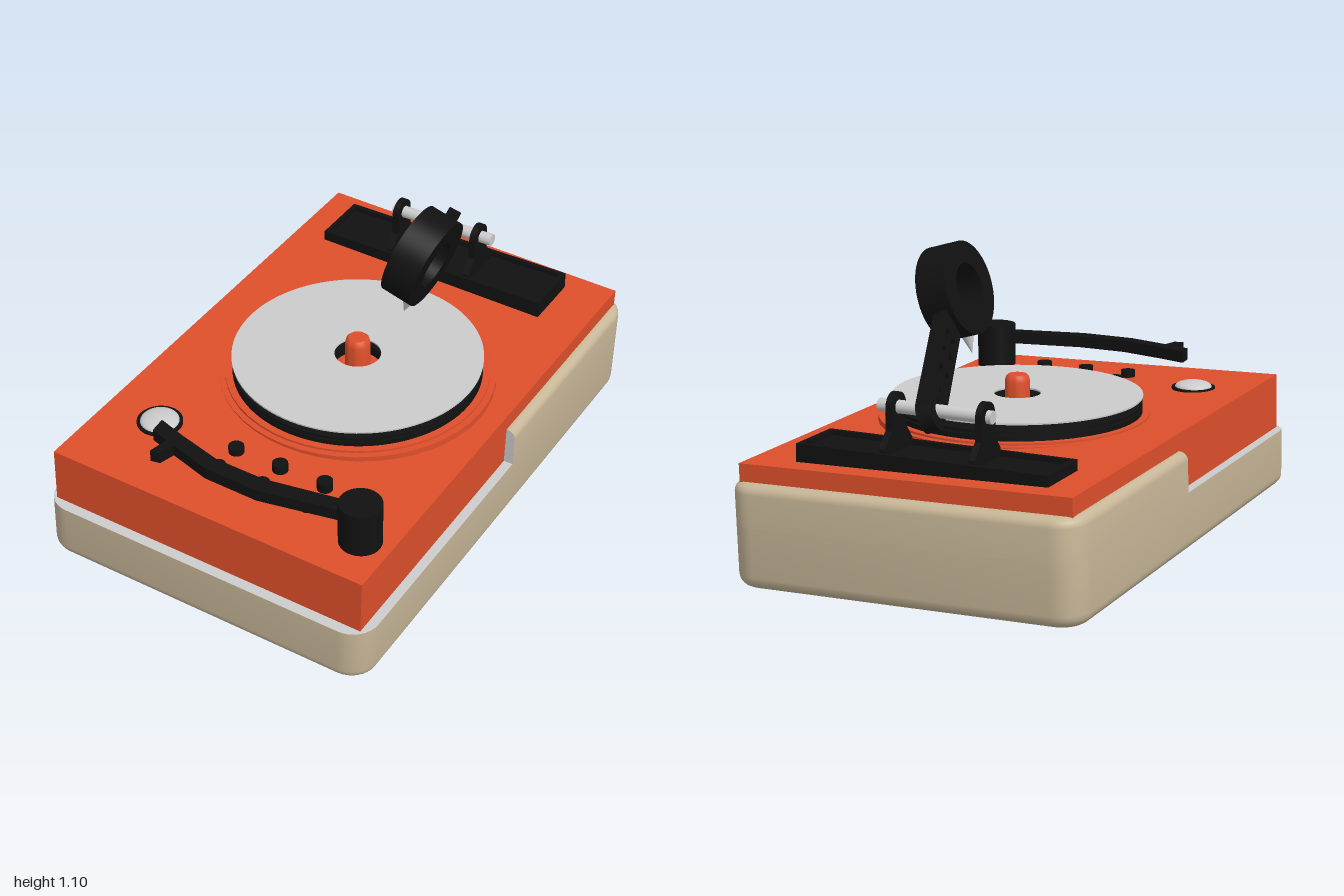
import * as THREE from 'three';
import { toCreasedNormals } from 'three/addons/utils/BufferGeometryUtils.js';

const mat = (color) => new THREE.MeshStandardMaterial({ color });
const black = mat(0x111111), orange = mat(0xde4f2b), cream = mat(0xc8b798), grey = mat(0xcccccc);

function add(parent, name, geometry, material, x = 0, y = 0, z = 0) {
  const mesh = new THREE.Mesh(geometry, material);
  mesh.name = name;
  mesh.position.set(x, y, z);
  parent.add(mesh);
  return mesh;
}
const box = (w, h, d) => new THREE.BoxGeometry(w, h, d);
const cyl = (r, h, top = r) => new THREE.CylinderGeometry(top, r, h, 48);
const poly = (pts) => new THREE.Shape(pts.map(([x, y]) => new THREE.Vector2(x, y)));
const extrude = (shape, depth) =>
  new THREE.ExtrudeGeometry(shape, { depth, bevelEnabled: false, curveSegments: 32 });

// Flat ring with a hole, standing on its own y = 0
function annulus(r, hole, h) {
  const s = new THREE.Shape().absarc(0, 0, r, 0, Math.PI * 2);
  s.holes.push(new THREE.Path().absarc(0, 0, hole, 0, Math.PI * 2, true));
  const g = new THREE.ExtrudeGeometry(s, { depth: h, bevelEnabled: false, curveSegments: 48 });
  return toCreasedNormals(g.rotateX(-Math.PI / 2), 0.6);
}

// Rounded rectangle in plan; zFront cuts it off with square front corners
const W = 0.655, R = 0.1;
function outline(inset, zFront) {
  const pts = [];
  [[1, 1], [-1, 1], [-1, -1], [1, -1]].forEach(([sx, sz], q) => {
    for (let i = 0; i <= 8; i++) {
      const a = (q + i / 8) * Math.PI / 2;
      if (sz > 0 && zFront !== undefined) pts.push([sx * (W - inset), zFront]);
      else pts.push([sx * (W - R) + (R - inset) * Math.cos(a), sz * (1 - R) + (R - inset) * Math.sin(a)]);
    }
  });
  return pts;
}

// Walls through rings of [inset, height], with optional end caps
function loft(rings, zFront, capBottom, capTop) {
  const pos = [], idx = [];
  const loops = rings.map(([inset]) => outline(inset, zFront));
  const n = loops[0].length;
  loops.forEach((loop, k) => loop.forEach(([x, z]) => pos.push(x, rings[k][1], z)));
  for (let k = 0; k < rings.length - 1; k++) for (let i = 0; i < n; i++) {
    const a = k * n + i, b = k * n + (i + 1) % n;
    idx.push(a, a + n, b, a + n, b + n, b);
  }
  const cap = (k, up) => {
    const c = pos.length / 3;
    pos.push(0, rings[k][1], -0.5);
    for (let i = 0; i < n; i++) {
      const a = k * n + i, b = k * n + (i + 1) % n;
      idx.push(c, up ? b : a, up ? a : b);
    }
  };
  if (capBottom) cap(0, false);
  if (capTop) cap(rings.length - 1, true);
  const g = new THREE.BufferGeometry();
  g.setAttribute('position', new THREE.Float32BufferAttribute(pos, 3));
  g.setIndex(idx);
  return toCreasedNormals(g, 0.6);
}
// Quarter-round of radius r in n steps, as [inset, rise]
const quarter = (r, n) => Array.from({ length: n + 1 }, (_, i) => {
  const a = (i / n) * Math.PI / 2;
  return [r * (1 - Math.cos(a)), r * Math.sin(a)];
});

function buildCase(root) {
  // Case and deck lean slightly to one side
  const body = new THREE.Group();
  body.name = 'case';
  body.rotation.z = -0.0275;
  body.position.set(-0.004, 0.018, 0);
  root.add(body);
  const foot = quarter(0.045, 5).reverse().map(([i, y]) => [i, 0.045 - y]);
  add(body, 'lowerCase', loft([...foot, [0, 0.22]], undefined, true, false), cream);
  add(body, 'frontLedge', new THREE.ShapeGeometry(poly(outline(0))).rotateX(-Math.PI / 2), grey, 0, 0.22);
  // Raised rear half of the case
  const rim = quarter(0.032, 5).map(([i, y]) => [i, 0.335 + y]);
  const rings = [[0, 0.22], ...rim], zStep = -0.06;
  add(body, 'rearCase', loft(rings, zStep, false, true), cream);
  const face = [...rings.map(([i, y]) => [W - i, y]), ...rings.map(([i, y]) => [i - W, y]).reverse()];
  add(body, 'stepFace', new THREE.ShapeGeometry(poly(face)), grey, 0, 0, zStep + 0.001);
  add(body, 'deck', box(1.24, 0.23, 1.91), orange, 0, 0.315, 0.005);
}

function buildPlatter(root) {
  const g = new THREE.Group();
  g.name = 'turntable';
  g.position.set(0.045, 0, 0.005);
  root.add(g);
  add(g, 'outerStep', cyl(0.505, 0.06), orange, 0, 0.428);
  add(g, 'innerStep', cyl(0.482, 0.06), orange, 0, 0.436);
  add(g, 'platter', annulus(0.455, 0.085, 0.019), black, 0, 0.466);
  add(g, 'platterCore', annulus(0.43, 0.085, 0.008), black, 0, 0.484);
  add(g, 'mat', annulus(0.455, 0.085, 0.012), black, 0, 0.49);
  add(g, 'disc', annulus(0.457, 0.085, 0.006), grey, 0, 0.524);
  // Spindle with a softened top
  const profile = [[0.046, 0.45], [0.046, 0.575], [0.042, 0.592], [0.034, 0.6], [0, 0.6]];
  add(g, 'spindle', toCreasedNormals(new THREE.LatheGeometry(
    profile.map(([r, y]) => new THREE.Vector2(r, y)), 32), 0.7), orange);
}

function buildFrontControls(root) {
  // Bent flat arm on a round post
  add(root, 'armPost', cyl(0.075, 0.17), black, 0.515, 0.515, 0.78);
  const flat = (pts) => extrude(poly(pts), 0.045).rotateX(Math.PI / 2);
  add(root, 'frontArm', flat([[-0.31, 0.73], [-0.2, 0.765], [-0.03, 0.81], [0.16, 0.815], [0.47, 0.762],
    [0.47, 0.818], [0.17, 0.877], [-0.04, 0.87], [-0.19, 0.826], [-0.305, 0.792]]), black, 0, 0.573);
  add(root, 'fingerLift', flat([[-0.23, 0.8], [-0.195, 0.81], [-0.215, 0.882], [-0.25, 0.888]]), black, 0, 0.573);
  // Domed dial in a dark rim
  add(root, 'dialRim', cyl(0.082, 0.02), black, -0.395, 0.456, 0.63);
  const dome = new THREE.SphereGeometry(0.07, 32, 10, 0, Math.PI * 2, 0, Math.PI / 2).scale(1, 0.32, 1);
  add(root, 'dialDome', dome, grey, -0.395, 0.466, 0.63);
  // Two rows of buttons
  for (const x of [-0.08, 0.1, 0.28]) for (const z of [0.62, 0.735])
    add(root, 'button', cyl(0.028, 0.045), black, x, 0.454, z);
}

function buildRearArm(root) {
  // Framed tray
  add(root, 'trayFloor', box(0.93, 0.055, 0.22), black, -0.018, 0.4545, -0.752);
  for (const s of [-1, 1]) {
    add(root, 'trayLongRim', box(0.94, 0.07, 0.018), black, -0.018, 0.465, -0.752 + s * 0.105);
    add(root, 'trayShortRim', box(0.018, 0.07, 0.226), black, -0.018 + s * 0.461, 0.465, -0.752);
  }
  // Brackets, drawn in (-z, y) and turned to stand across the tray
  const side = new THREE.Shape();
  side.moveTo(0.65, 0.47).lineTo(0.845, 0.47).lineTo(0.84, 0.51).lineTo(0.792, 0.56).lineTo(0.79, 0.636);
  side.absarc(0.74, 0.636, 0.05, 0, Math.PI, false);
  side.lineTo(0.69, 0.56).lineTo(0.65, 0.51);
  for (const x of [-0.2, 0.135])
    add(root, 'bracket', extrude(side, 0.024).rotateY(Math.PI / 2), black, x - 0.012);
  add(root, 'pivotRod', cyl(0.023, 0.425).rotateZ(Math.PI / 2), grey, -0.018, 0.636, -0.742);

  // Slotted beam rising forward from the rod
  const beam = new THREE.Shape();
  beam.moveTo(0.54, -0.058).lineTo(0.54, 0.058).lineTo(0, 0.058);
  beam.absarc(0, 0, 0.058, Math.PI / 2, Math.PI * 1.5, false);
  for (const [a, b] of [[0.18, 0.25], [0.275, 0.36], [0.385, 0.46]]) for (const y of [-0.022, 0.022])
    beam.holes.push(new THREE.Path([[a, y - 0.013], [a, y + 0.013], [b, y + 0.013], [b, y - 0.013]]
      .map((p) => new THREE.Vector2(...p))));
  for (const s of [0.06, 0.12])
    beam.holes.push(new THREE.Path().absarc(s, 0, 0.011, 0, Math.PI * 2, true));
  const start = new THREE.Vector3(-0.01, 0.627, -0.77), end = new THREE.Vector3(0.17, 0.83, -0.3);
  const along = end.clone().sub(start).normalize();
  const lean = new THREE.Vector3(0.96, -0.28, 0);
  const normal = lean.clone().addScaledVector(along, -lean.dot(along)).normalize();
  const up = normal.clone().cross(along);
  const arm = add(root, 'beam', extrude(beam, 0.05).translate(0, 0, -0.025), black);
  arm.quaternion.setFromRotationMatrix(new THREE.Matrix4().makeBasis(along, up, normal));
  arm.position.copy(start);

  // Leaning ring head with its needle
  const head = new THREE.Group();
  head.name = 'ringHead';
  head.position.set(0.215, 0.92, -0.152);
  head.rotation.z = -0.283;
  root.add(head);
  add(head, 'ring', annulus(0.17, 0.09, 0.12).rotateZ(-Math.PI / 2), black, -0.06);
  add(head, 'needle', new THREE.ConeGeometry(0.03, 0.09, 24).rotateX(Math.PI), grey, 0.02, -0.193, 0.04);
}

export function createModel() {
  const root = new THREE.Group();
  root.name = 'recordPlayer';
  buildCase(root);
  buildPlatter(root);
  buildFrontControls(root);
  buildRearArm(root);
  return root;
}
